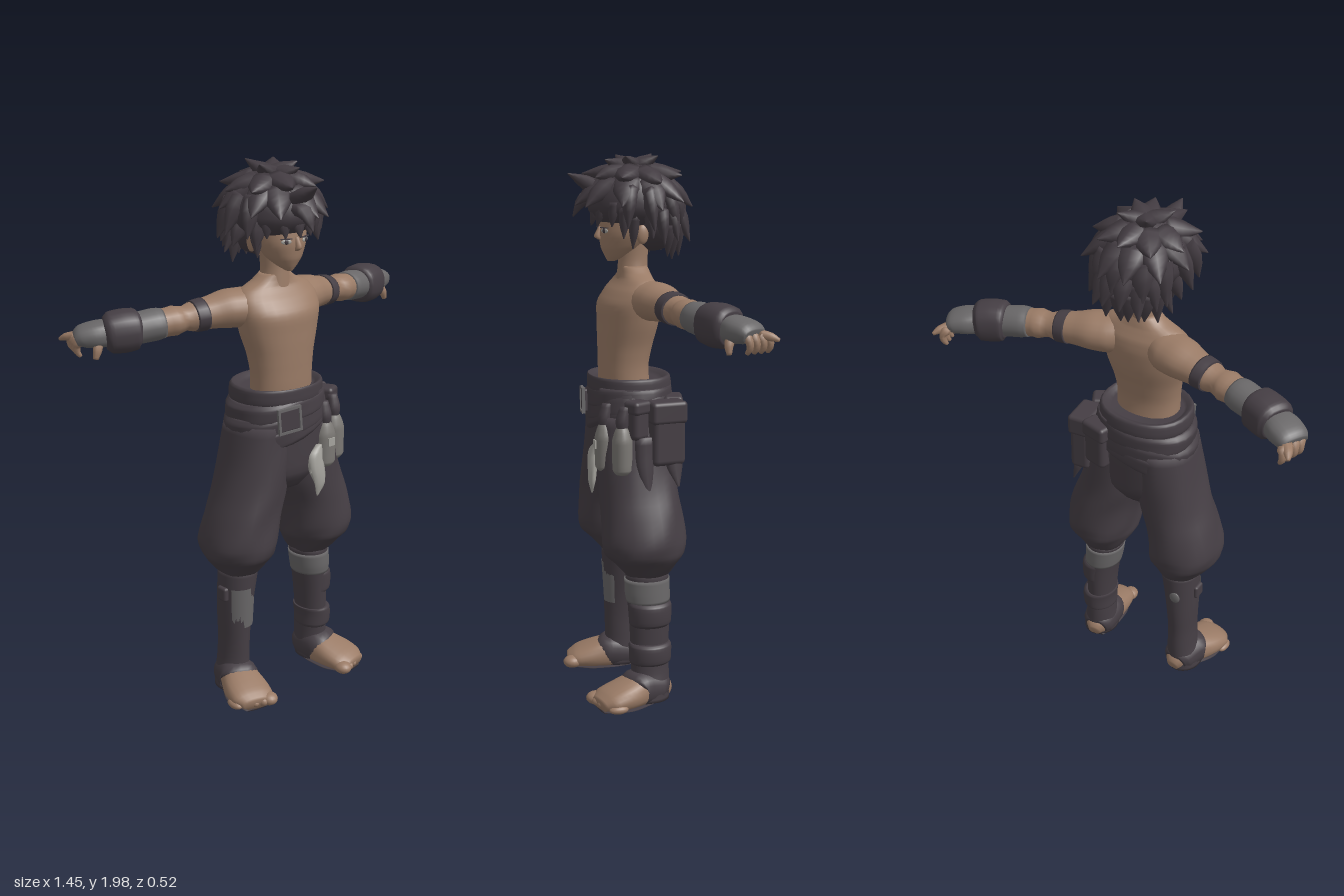
import * as THREE from 'three';
import { mergeGeometries } from 'three/addons/utils/BufferGeometryUtils.js';
import { RoundedBoxGeometry } from 'three/addons/geometries/RoundedBoxGeometry.js';

const mat = (name, color) => {
  const m = new THREE.MeshStandardMaterial({ color });
  m.name = name;
  return m;
};
const UP = new THREE.Vector3(0, 1, 0);
const FRONT = new THREE.Vector3(0, 0, 1);

// Closed loft through sections [x, y, z, a, b]; upright lofts keep level rings.
function loft(sections, { n = 20, sub = 4, upright = false, pow = 2, wave = 0, floor = -1 } = {}) {
  const path = new THREE.CatmullRomCurve3(sections.map(s => new THREE.Vector3(s[0], s[1], s[2])));
  const size = new THREE.CatmullRomCurve3(sections.map(s => new THREE.Vector3(s[3], s[4], 0)));
  const along = path.getPoint(1).sub(path.getPoint(0)).normalize();
  const ref = upright || Math.abs(along.y) > 0.75 ? FRONT : UP;
  const axis = UP.clone().multiplyScalar(Math.sign(along.y));
  const rows = (sections.length - 1) * sub, pos = [], idx = [];
  for (let i = 0; i <= rows; i++) {
    const c = path.getPoint(i / rows), r = size.getPoint(i / rows);
    const t = upright ? axis : path.getTangent(i / rows);
    const u = new THREE.Vector3().crossVectors(t, ref).normalize();
    const v = new THREE.Vector3().crossVectors(u, t);
    for (let j = 0; j < n; j++) {
      const q = j / n * Math.PI * 2, f = 1 + wave * Math.sin(q * 5 + i * 0.5);
      const k = w => Math.sign(w) * Math.abs(w) ** (2 / pow) * f;
      const p = c.clone().addScaledVector(u, k(Math.cos(q)) * r.x).addScaledVector(v, k(Math.sin(q)) * r.y);
      pos.push(p.x, Math.max(p.y, floor), p.z);
    }
  }
  const end = (rows + 1) * n;
  for (const s of [sections[0], sections[sections.length - 1]]) pos.push(s[0], s[1], s[2]);
  for (let j = 0; j < n; j++) {
    const j2 = (j + 1) % n;
    for (let i = 0; i < rows; i++) {
      const a = i * n + j, b = i * n + j2;
      idx.push(a, a + n, b, b, a + n, b + n);
    }
    idx.push(end, j, j2, end + 1, rows * n + j2, rows * n + j);
  }
  const g = new THREE.BufferGeometry();
  g.setAttribute('position', new THREE.Float32BufferAttribute(pos, 3));
  g.setIndex(idx);
  g.computeVertexNormals();
  return g;
}
const flip = (list, s) => list.map(p => [p[0] * s, ...p.slice(1)]);
const ball = (x, y, z, a, b, c) => new THREE.SphereGeometry(1, 20, 14).scale(a, b, c).translate(x, y, z);

export function createModel() {
  const model = new THREE.Group();
  const skin = mat('skin', 0x9a7b66), cloth = mat('dark cloth', 0x453e44), hair = mat('hair', 0x423b41);
  const wrap = mat('grey wrap', 0x696768), bottle = mat('bottle grey', 0x7b7874), pale = mat('pale fur', 0xa5a39d);
  const add = (name, geo, m, parent = model) => {
    const mesh = new THREE.Mesh(geo, m);
    mesh.name = name;
    parent.add(mesh);
    return mesh;
  };
  const tower = (name, list, m, opt = {}) => add(name, loft(list, { n: 28, upright: true, ...opt }), m);

  // Torso, neck and head
  tower('torso', [[0, 1.13, .06, .12, .09], [0, 1.22, .066, .12, .088], [0, 1.3, .06, .13, .095],
    [0, 1.38, .05, .153, .105], [0, 1.45, .045, .168, .107], [0, 1.5, .032, .17, .088],
    [0, 1.535, .025, .145, .064], [0, 1.56, .025, .09, .055], [0, 1.585, .028, .055, .05]], skin, { pow: 2.2 });
  tower('neck', [[0, 1.5, .03, .075, .06], [0, 1.56, .03, .056, .055], [0, 1.61, .028, .05, .053], [0, 1.68, .025, .055, .055]], skin);
  tower('head', [[0, 1.602, .108, .012, .014], [0, 1.62, .092, .036, .04], [0, 1.65, .075, .065, .07],
    [0, 1.7, .06, .09, .092], [0, 1.76, .04, .1, .105], [0, 1.84, .03, .1, .105], [0, 1.92, .03, .03, .03]], skin);
  add('nose', loft([[0, 1.725, .148, .007, .006], [0, 1.69, .158, .011, .013], [0, 1.678, .15, .008, .006]], { n: 8, upright: true }), skin);
  for (const s of [1, -1]) {
    add('ear', ball(s * .097, 1.7, .02, .012, .034, .022), skin);
    const eye = new THREE.Group();
    eye.name = 'eye';
    eye.position.set(s * .042, 1.712, .143);
    eye.rotation.y = s * .4;
    model.add(eye);
    add('eyeWhite', ball(0, 0, 0, .019, .009, .004), pale, eye);
    add('iris', ball(0, 0, .002, .008, .009, .004), hair, eye);
    add('lash', new THREE.BoxGeometry(.04, .003, .008).translate(0, .01, .001), hair, eye);
  }

  // Hair: two rounded masses with broad clumps swept outwards from the crown
  let seed = 7;
  const rnd = () => (seed = (seed * 16807) % 2147483647) / 2147483647 - .5;
  const cap = ball(0, 0, 0, .158, .15, .165);
  const cp = cap.attributes.position;
  for (let i = 0; i < cp.count; i++) if (cp.getY(i) < 0) cp.setY(i, cp.getY(i) * .6);
  cap.translate(-.008, 1.8, .025);
  cap.computeVertexNormals();
  add('hairCap', cap, hair);
  add('hairBack', ball(0, 1.75, -.045, .125, .115, .105), hair);
  const spikes = [];
  const spike = (b, t, r, m = b.map((v, i) => (v + t[i]) / 2)) =>
    spikes.push(loft([[...b, r, r * .6], [...m, r * .75, r * .5], [...t, .002, .002]], { n: 8, sub: 3 }));
  const clumps = (c, R, elev, count, len, droop, r, from = 0, span = 360) => {
    for (let i = 0; i < count; i++) {
      const a = (from + span * (i + .5 + rnd() * .5) / count) * Math.PI / 180, e = elev + rnd() * 12, l = len + rnd() * .14;
      const at = (deg, k) => {
        const q = deg * Math.PI / 180, d = [Math.cos(q) * Math.sin(a), Math.sin(q), Math.cos(q) * Math.cos(a)];
        return c.map((v, m) => v + R[m] * d[m] * k);
      };
      const tip = at(e, l);
      tip[1] = Math.min(tip[1] + droop, 2);
      spike(at(e + 34, .84), tip, r, at(e + 13, 1.0));
    }
  };
  const C = [-.008, 1.8, .025], R = [.158, .15, .165], C2 = [0, 1.75, -.045], R2 = [.125, .115, .105];
  clumps(C, R, 58, 5, 1.22, .01, .05, 40);
  clumps(C, R, 30, 9, 1.27, 0, .056);
  clumps(C, R, 6, 11, 1.3, -.015, .056, 16);
  clumps(C, R, -14, 9, 1.2, -.035, .052, 60, 240);
  clumps(C2, R2, -18, 8, 1.32, -.03, .045, 85, 190);
  clumps(C2, R2, -48, 7, 1.22, -.03, .042, 95, 170);
  spike([-.01, 1.85, .14], [-.01, 1.91, .262], .05);
  spike([-.01, 1.83, .15], [-.01, 1.76, .245], .05, [-.01, 1.82, .205]);
  for (const x of [-.1, -.055, -.008, .04, .09]) spike([x, 1.81, .155 - x * x * 4], [x * 1.1, 1.728, .18 - x * x * 6], .034);
  for (const s of [1, -1]) {
    spike([s * .1, 1.77, .05], [s * .098, 1.65, .055], .034);
    spike([s * .12, 1.79, .09], [s * .14, 1.69, .1], .036);
    spike([s * .12, 1.78, .0], [s * .165, 1.69, .0], .04);
  }
  add('hairSpikes', mergeGeometries(spikes), hair);

  for (const s of [1, -1]) {
    const limb = (name, list, m, opt) => add(name, loft(flip(list, s), opt), m);
    // Arms with bands, wraps, cuffs and gloves
    limb('arm', [[.06, 1.475, .02, .06, .065], [.13, 1.47, 0, .084, .07], [.18, 1.47, -.016, .082, .068], [.24, 1.464, -.03, .068, .058],
      [.32, 1.456, -.045, .056, .05], [.4, 1.45, -.06, .056, .05], [.47, 1.443, -.078, .05, .047]], skin);
    limb('armBand', [[.268, 1.461, -.035, .067, .058], [.29, 1.459, -.039, .065, .057], [.31, 1.457, -.043, .062, .055]], cloth);
    limb('forearmWrap', [[.42, 1.448, -.065, .057, .052], [.45, 1.446, -.074, .062, .056], [.53, 1.436, -.098, .058, .054]], wrap);
    limb('cuff', [[.503, 1.438, -.09, .058, .055], [.515, 1.438, -.094, .071, .07], [.555, 1.435, -.108, .073, .074],
      [.595, 1.432, -.125, .072, .07], [.612, 1.43, -.134, .056, .054]], cloth, { pow: 2.4 });
    limb('glove', [[.59, 1.432, -.122, .05, .046], [.64, 1.43, -.148, .064, .044], [.68, 1.424, -.17, .06, .037], [.698, 1.415, -.18, .05, .024]], wrap, { pow: 2.4 });
    for (let i = 0; i < 4; i++) {
      const x = .673 + i * .008, z = -.222 + i * .026;
      limb('finger', [[x, 1.42, z, .014, .014], [x + .012, 1.4, z - .014, .014, .014],
        [x + .01, 1.378, z - .016, .012, .012], [x, 1.36, z - .01, .007, .007]], skin, { n: 8, sub: 2 });
    }
    limb('fingertip', [[.68, 1.42, -.205, .022, .016], [.702, 1.412, -.235, .016, .014], [.715, 1.402, -.258, .006, .006]], skin, { n: 8 });
    limb('thumb', [[.645, 1.415, -.12, .018, .018], [.66, 1.385, -.106, .016, .016], [.67, 1.355, -.104, .009, .009]], skin, { n: 8 });

    // Baggy trouser legs, shins and feet
    tower('trouserLeg', flip([[.17, .47, .025, .055, .06], [.172, .49, .025, .076, .084], [.177, .53, .03, .105, .116],
      [.182, .57, .038, .131, .144], [.182, .62, .041, .137, .153], [.165, .71, .042, .131, .148], [.132, .81, .045, .13, .142],
      [.112, .92, .045, .118, .14], [.09, 1.06, .042, .11, .138]], s), cloth, { wave: .022, pow: 2.1 });
    tower('shinWrap', flip([[.17, .5, .025, .075, .08], [.18, .4, .023, .066, .077], [.187, .3, .02, .058, .074],
      [.19, .2, .02, .053, .07], [.192, .12, .018, .056, .07], [.197, .06, .022, .064, .074], [.2, .015, .028, .066, .078]], s), cloth);
    limb('foot', [[.187, .035, -.055, .022, .022], [.19, .045, -.03, .045, .045], [.2, .055, .05, .066, .062],
      [.222, .046, .13, .082, .05], [.235, .036, .19, .08, .036], [.244, .026, .225, .05, .022]], skin, { floor: .006, pow: 2.3 });
    limb('footWrap', [[.19, .045, -.035, .046, .046], [.192, .052, -.015, .062, .058], [.2, .06, .04, .072, .066], [.207, .062, .07, .076, .064], [.208, .06, .072, .06, .05]], cloth, { floor: .003, pow: 2.3 });
    for (let i = 0; i < 5; i++)
      add('toe', ball(s * (.185 + i * .029), .03 - i * .002, .222 - i * .014, i ? .02 : .032, .024 - i * .002, .036), skin);
    limb('sole', [[.188, .005, -.03, .03, .005], [.2, .005, .05, .058, .005], [.222, .005, .13, .074, .005], [.238, .005, .22, .045, .005]], cloth, { floor: 0 });
  }

  // Shin details
  tower('leftKneeWrap', [[.173, .47, .025, .076, .083], [.178, .42, .025, .073, .083], [.182, .385, .023, .07, .08]], wrap);
  for (const [y, h] of [[.34, .045], [.19, .04]])
    tower('leftShinPad', [[.193, y - h, .02, .056, .07], [.198, y - h * .7, .02, .064, .077], [.197, y + h * .7, .02, .066, .079], [.19, y + h, .02, .06, .074]], cloth);
  const patch = new THREE.CylinderGeometry(.068, .06, .16, 14, 1, true, -.95, 1.9).scale(1, 1, 1.16).translate(-.183, .35, .0235);
  add('rightShinPatch', patch, wrap).material.side = THREE.DoubleSide;
  add('rightKneeKnot', new RoundedBoxGeometry(.025, .055, .05, 2, .01).translate(-.245, .405, .03), cloth);
  add('calfPatch', ball(-.19, .4, -.051, .022, .025, .008), wrap);

  // Hips, waistband and slanted sash folds
  tower('hips', [[0, .8, .042, .1, .09], [0, .87, .044, .18, .135], [0, 1, .043, .195, .142],
    [0, 1.1, .042, .185, .145], [0, 1.16, .042, .172, .146]], cloth, { pow: 2.3 });
  tower('waistband', [[-.005, 1.12, .042, .165, .14], [-.005, 1.15, .042, .176, .15], [-.005, 1.185, .044, .174, .148],
    [-.005, 1.195, .046, .164, .142], [-.005, 1.175, .05, .135, .11]], cloth, { pow: 2.2, sub: 3 });
  for (const [y, r, h, tilt] of [[1.115, .19, 1, .1], [1.07, .2, 1.2, .2], [1.04, .205, 1, .3]]) {
    const sash = tower('sashFold', [[0, -.045 * h, 0, r - .02, .14], [0, -.025 * h, 0, r, .154], [0, .02 * h, 0, r - .002, .153], [0, .04 * h, 0, r - .022, .142]], cloth, { pow: 2.2, wave: .012 });
    sash.position.set(-.008, y, .042);
    sash.rotation.z = tilt;
  }
  // Buckle
  const buckle = new THREE.Group();
  buckle.name = 'buckle';
  buckle.position.set(-.07, 1.09, .193);
  buckle.rotation.set(0, -.15, .08);
  model.add(buckle);
  add('bucklePlate', new RoundedBoxGeometry(.085, .085, .02, 2, .008), cloth, buckle);
  for (const s of [1, -1]) {
    add('buckleRim', new THREE.BoxGeometry(.009, .095, .012).translate(s * .043, 0, .008), wrap, buckle);
    add('buckleRim', new THREE.BoxGeometry(.095, .009, .012).translate(0, s * .043, .008), wrap, buckle);
  }

  // Pouches: [x, y, z, width, height, depth, turn]
  for (const [x, y, z, w, h, d, turn] of [[.21, 1.01, -.035, .08, .23, .125, .1], [.21, 1.06, .07, .06, .14, .07, .5],
    [.125, 1.04, -.085, .1, .18, .06, -.25]]) {
    const g = new THREE.Group();
    g.name = 'pouch';
    g.position.set(x, y, z);
    g.rotation.y = turn;
    model.add(g);
    add('pouchBody', new RoundedBoxGeometry(w, h, d, 3, .02), cloth, g);
    add('pouchFlap', new RoundedBoxGeometry(w + .01, h * .35, d + .01, 3, .015).translate(0, h * .33, 0), cloth, g);
  }
  // Hanging bottles, fur tail and cloth tails
  for (const [x, z] of [[.124, .168], [.205, .125]]) {
    tower('bottle', [[x, .868, z, .028, .025], [x, .885, z, .04, .035], [x, .98, z, .041, .036], [x, 1.02, z, .03, .027], [x, 1.045, z, .015, .015]], bottle, { n: 16 });
    tower('bottleCap', [[x, 1.03, z, .02, .02], [x, 1.06, z, .024, .024], [x, 1.11, z - .01, .018, .018]], cloth, { n: 12 });
  }
  add('bottleLabel', new THREE.BoxGeometry(.03, .03, .006).translate(.124, .965, .204), pale);
  add('furTail', loft([[.08, .96, .185, .01, .01], [.06, .93, .192, .028, .015], [.06, .88, .198, .034, .016],
    [.07, .82, .203, .024, .012], [.062, .77, .2, .003, .003]], { n: 12, upright: true, wave: .12 }), pale);
  add('furTip', loft([[.045, .9, .195, .014, .01], [.03, .865, .2, .003, .003]], { n: 8, upright: true }), pale);
  for (const [x, z, tip] of [[.235, .05, .78], [.225, -.06, .82]])
    add('clothTail', loft([[x - .01, 1, z, .02, .035], [x, .9, z, .018, .032], [x + .024, tip, z - .01, .003, .004]], { n: 10, upright: true }), cloth);
  return model;
}
